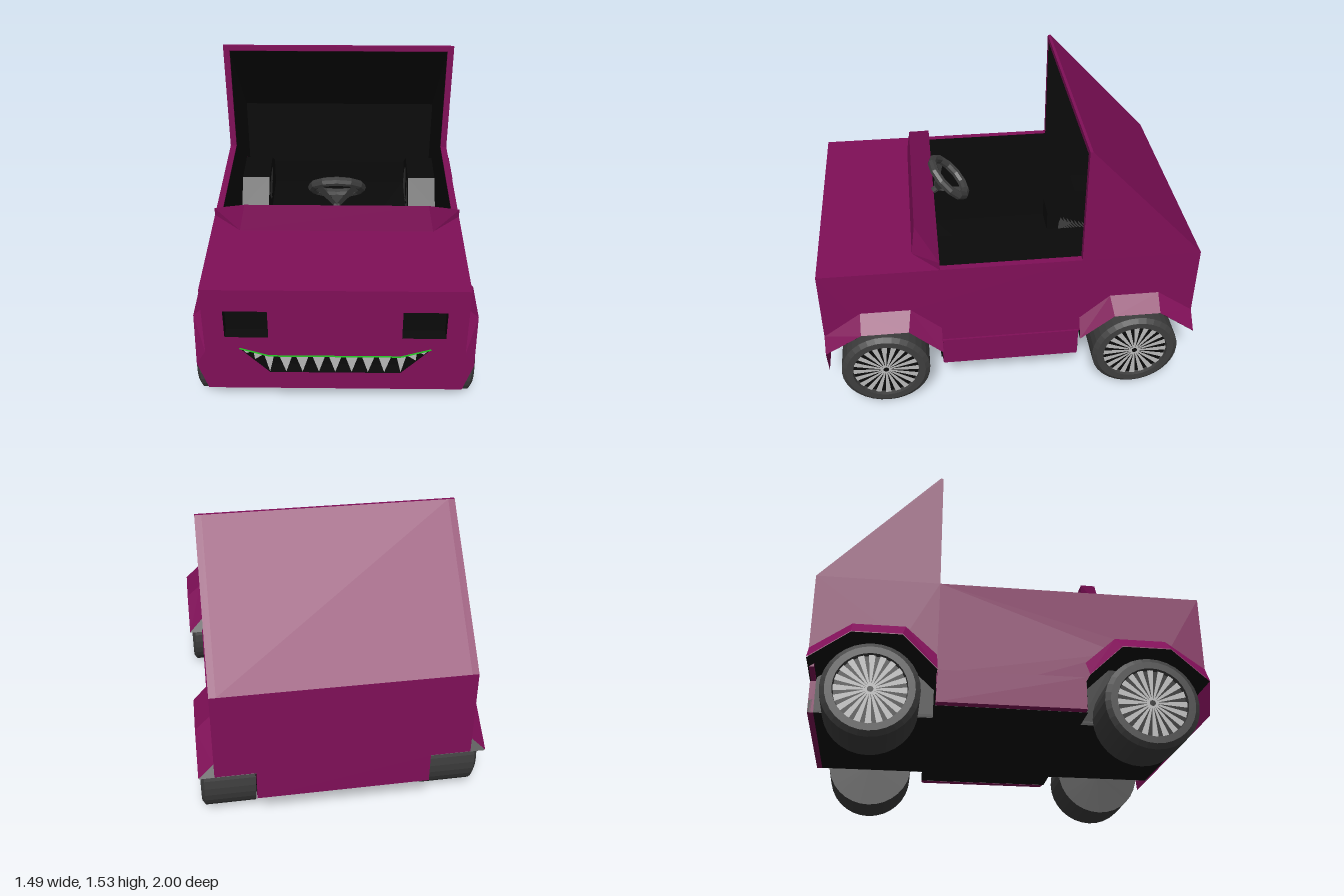
import * as THREE from 'three';
import { ConvexGeometry } from 'three/addons/geometries/ConvexGeometry.js';

const mat = (color, opts = {}) => {
  const m = new THREE.MeshStandardMaterial({ color, ...opts });
  m.flatShading = true;
  return m;
};
const paint = mat(0x800f58, { side: THREE.DoubleSide });
const black = mat(0x0a0a0a, { side: THREE.DoubleSide });
const pocketBlack = mat(0x0a0a0a, { side: THREE.BackSide });
const rubber = mat(0x3e3e3e);
const rimGrey = mat(0xb8b8b8, { side: THREE.DoubleSide });
const green = mat(0x22cc22);

const V = (x, y, z) => new THREE.Vector3(x, y, z);
const poly = pts => new THREE.Shape(pts.map(p => new THREE.Vector2(...p)));

function add(parent, name, geometry, material) {
  const mesh = new THREE.Mesh(geometry, material);
  mesh.name = name;
  parent.add(mesh);
  return mesh;
}

// Box given by its low and high corners
function slab(parent, name, material, [x0, y0, z0], [x1, y1, z1]) {
  const g = new THREE.BoxGeometry(x1 - x0, y1 - y0, z1 - z0);
  g.translate((x0 + x1) / 2, (y0 + y1) / 2, (z0 + z1) / 2);
  return add(parent, name, g, material);
}

// Ribbon of quads between two rows of points
function ribbon(a, b) {
  const pts = [];
  for (let i = 0; i < a.length - 1; i++) pts.push(a[i], b[i], b[i + 1], a[i], b[i + 1], a[i + 1]);
  const g = new THREE.BufferGeometry().setFromPoints(pts);
  g.computeVertexNormals();
  return g;
}

// Profile drawn as [z, y], extruded along x from x0 to x1
function profileAlongX(pts, x0, x1) {
  const g = new THREE.ExtrudeGeometry(poly(pts.map(([z, y]) => [-z, y])), { depth: x1 - x0, bevelEnabled: false });
  g.rotateY(Math.PI / 2);
  return g.translate(x0, 0, 0);
}

const ARCH = [[1, 0.38], [0.8, 0.53], [0.55, 0.53], [0.375, 0.365]];
const ARCH_TOP = [[1, 0.465], [0.8, 0.61], [0.535, 0.61], [0.375, 0.465]];

function makeBody() {
  const body = new THREE.Group();
  body.name = 'body';

  // Side panels with wheel arch cut-outs and a black inner lining
  const side = [
    ...ARCH, [0.375, 0.21], [-0.375, 0.21],
    ...[...ARCH].reverse().map(([z, y]) => [-z, y]),
    [-1, 0.87], [-0.385, 1.53], [-0.37, 1.53], [-0.37, 0.87], [1, 0.87],
  ];
  const lining = new THREE.ShapeGeometry(poly(side.map(([z, y]) => [-z, y]))).rotateY(Math.PI / 2);
  for (const s of [1, -1]) {
    add(body, 'sidePanel', profileAlongX(side, s > 0 ? 0.625 : -0.66, s > 0 ? 0.66 : -0.625), paint);
    add(body, 'sideLining', lining, black).position.x = s * 0.623;
    slab(body, 'sill', paint, [s > 0 ? 0.65 : -0.67, 0.21, -0.372], [s > 0 ? 0.67 : -0.65, 0.38, 0.372]);
  }

  // Sloping cab roof running into the rear wall
  add(body, 'cabRoof', profileAlongX([
    [-0.37, 1.53], [-0.385, 1.53], [-1, 0.87], [-1, 0.38], [-0.97, 0.38], [-0.97, 0.85], [-0.37, 1.5],
  ], -0.626, 0.626), paint);
  slab(body, 'rearSkirt', paint, [-0.45, 0.21, -1], [0.45, 0.38, -0.97]);
  add(body, 'cabLining', ribbon(
    [V(-0.624, 1.497, -0.372), V(-0.624, 0.848, -0.967), V(-0.624, 0.38, -0.967)],
    [V(0.624, 1.497, -0.372), V(0.624, 0.848, -0.967), V(0.624, 0.38, -0.967)]), black);
  slab(body, 'rearSkirtLining', black, [-0.45, 0.23, -0.969], [0.45, 0.4, -0.96]);

  // Bonnet, dash wall and floor
  slab(body, 'bonnet', paint, [-0.626, 0.84, 0.37], [0.626, 0.87, 1]);
  slab(body, 'dashWall', black, [-0.624, 0.21, 0.369], [0.624, 0.86, 0.385]);
  slab(body, 'floor', black, [-0.45, 0.211, -0.97], [0.45, 0.23, 0.99]);
  slab(body, 'floorMiddle', black, [-0.65, 0.211, -0.374], [0.65, 0.229, 0.374]);

  // Raised cowl in front of the driver
  const cowl = [];
  for (const s of [1, -1]) {
    cowl.push(V(s * 0.51, 0.87, 0.51), V(s * 0.48, 1.02, 0.49), V(s * 0.66, 0.87, 0.37), V(s * 0.66, 0.915, 0.37));
  }
  add(body, 'cowl', new ConvexGeometry(cowl), paint);
  return body;
}

// Front panel with headlight and mouth openings
function makeFace() {
  const face = new THREE.Group();
  face.name = 'face';
  const panel = poly([[-0.66, 0.21], [0.66, 0.21], [0.71, 0.38], [0.66, 0.465], [0.66, 0.87],
    [-0.66, 0.87], [-0.66, 0.465], [-0.71, 0.38]]);
  const openings = {
    leftHeadlight: [[0.335, 0.565], [0.555, 0.565], [0.555, 0.735], [0.335, 0.735]],
    rightHeadlight: [[-0.555, 0.565], [-0.335, 0.565], [-0.335, 0.735], [-0.555, 0.735]],
    mouth: [[-0.335, 0.325], [0.335, 0.325], [0.485, 0.49], [0.335, 0.44], [-0.335, 0.44], [-0.485, 0.49]],
  };
  for (const [name, pts] of Object.entries(openings)) {
    panel.holes.push(poly(pts));
    const pocket = new THREE.ExtrudeGeometry(poly(pts), { depth: 0.06, bevelEnabled: false });
    add(face, name + 'Pocket', pocket, pocketBlack).position.z = 0.94;
  }
  add(face, 'frontPanel', new THREE.ShapeGeometry(panel), paint).position.z = 1;

  // Teeth as [left, right, top left, top right, tip x, tip y]
  const tooth = (x0, y0, x1, y1, tx, ty) =>
    add(face, 'tooth', new THREE.ShapeGeometry(poly([[x0, y0], [tx, ty], [x1, y1]])), rimGrey).position.z = 0.995;
  for (let i = -4; i <= 4; i++) {
    const x = i * 0.084;
    const w = Math.abs(i) === 4 ? 0.025 : 0.034;
    tooth(x - w, 0.44, x + w, 0.44, x, 0.325);
  }
  for (const s of [1, -1]) {
    tooth(s * 0.36, 0.448, s * 0.415, 0.466, s * 0.41, 0.41);
    tooth(s * 0.42, 0.468, s * 0.48, 0.488, s * 0.45, 0.452);
  }

  // Thin lip along the top of the mouth
  const lip = [[-0.485, 0.49], [-0.335, 0.44], [0.335, 0.44], [0.485, 0.49]];
  for (let i = 0; i < 3; i++) {
    const [a, b] = [V(...lip[i], 1), V(...lip[i + 1], 1)];
    const bar = add(face, 'lip', new THREE.BoxGeometry(a.distanceTo(b), 0.007, 0.007), green);
    bar.position.copy(a).add(b).multiplyScalar(0.5);
    bar.rotation.z = Math.atan2(b.y - a.y, b.x - a.x);
  }
  return face;
}

// Flared fender with the black wheel well behind it
function makeFender(s, end) {
  const fender = new THREE.Group();
  fender.name = end > 0 ? 'frontFender' : 'rearFender';
  const flare = end > 0 ? [0.71, 0.745, 0.745, 0.745] : [0.74, 0.74, 0.74, 0.72];
  const top = ARCH_TOP.map(([z, y]) => V(s * 0.66, y, end * z));
  const edge = ARCH.map(([z, y], i) => V(s * flare[i], y, end * z));
  add(fender, 'flare', ribbon(top, edge), paint);
  const row = x => [...ARCH.map(([z, y]) => V(s * x, y - 0.003, end * z * 0.999)), V(s * x, 0.21, end * 0.376)];
  add(fender, 'wellRoof', ribbon(row(0.45), row(0.66)), black);
  add(fender, 'flareLining', ribbon(row(0.66).slice(0, 4), edge.map(p => V(p.x - s * 0.003, p.y - 0.003, p.z))), black);
  const wall = row(0.45);
  add(fender, 'wellWall', ribbon(wall, wall.map(p => V(p.x, 0.21, p.z))), black);
  return fender;
}

// Wheel with its outer face towards +x
function makeWheel() {
  const wheel = new THREE.Group();
  wheel.name = 'wheel';
  const profile = [[0, -0.14], [0.24, -0.14], [0.24, 0.125], [0.215, 0.143], [0.18, 0.143], [0.175, 0.115], [0, 0.115]];
  const tyre = new THREE.LatheGeometry(profile.map(p => new THREE.Vector2(...p)), 32);
  add(wheel, 'tyre', tyre.rotateZ(-Math.PI / 2), rubber);
  const disc = new THREE.CircleGeometry(0.176, 32).rotateY(Math.PI / 2);
  add(wheel, 'rimBack', disc, black).position.x = 0.118;
  const spoke = new THREE.ShapeGeometry(poly([[-0.003, 0.015], [0.003, 0.015], [0.016, 0.177], [-0.016, 0.177]]));
  spoke.rotateY(Math.PI / 2);
  for (let i = 0; i < 20; i++) {
    const m = add(wheel, 'spoke', spoke, rimGrey);
    m.position.x = 0.127;
    m.rotation.x = (i / 20) * Math.PI * 2;
  }
  return wheel;
}

// Steering wheel tilted towards the driver, its spokes meeting at the dash
function makeSteeringWheel() {
  const steering = new THREE.Group();
  steering.name = 'steeringWheel';
  add(steering, 'steeringRim', new THREE.TorusGeometry(0.132, 0.025, 8, 12), rubber);
  for (const a of [-90, 30, 150]) {
    const t = THREE.MathUtils.degToRad(a);
    const at = (r, d, z) => V(Math.cos(t) * r - Math.sin(t) * d, Math.sin(t) * r + Math.cos(t) * d, z);
    add(steering, 'steeringSpoke', ribbon(
      [at(0.13, -0.035, 0), at(0, -0.018, -0.105)], [at(0.13, 0.035, 0), at(0, 0.018, -0.105)]),
    mat(0x3e3e3e, { side: THREE.DoubleSide }));
  }
  const hub = new THREE.CylinderGeometry(0.02, 0.02, 0.03, 8).rotateX(Math.PI / 2);
  add(steering, 'steeringHub', hub, rubber).position.z = -0.11;
  steering.position.set(0, 0.995, 0.28);
  steering.lookAt(0, 0.995 + 0.74, 0.28 - 0.8);
  return steering;
}

export function createModel() {
  const model = new THREE.Group();
  model.name = 'toyCar';
  model.add(makeBody(), makeFace(), makeSteeringWheel());
  for (const s of [1, -1]) {
    for (const end of [1, -1]) {
      model.add(makeFender(s, end));
      const wheel = makeWheel();
      wheel.position.set(s * 0.59, 0.24, end * 0.69);
      if (s < 0) wheel.rotation.y = Math.PI;
      model.add(wheel);
    }
  }
  return model;
}
